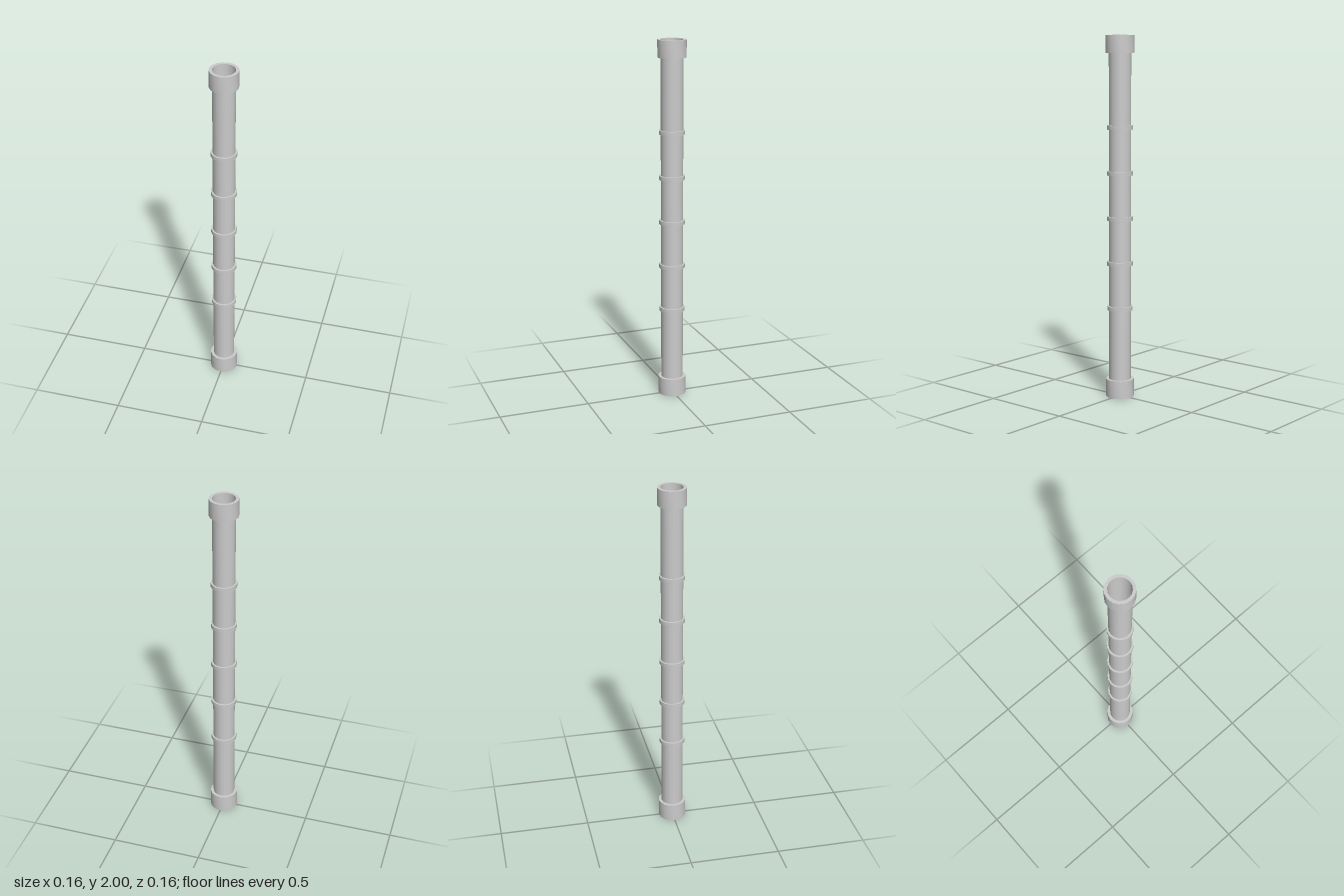
import * as THREE from 'three';
import { toCreasedNormals } from 'three/addons/utils/BufferGeometryUtils.js';

const SIDES = 16;
const PIPE_RADIUS = 0.061;

export function createModel() {
  const group = new THREE.Group();
  const material = new THREE.MeshStandardMaterial({ color: 0xcccccc });
  const pipeMaterial = new THREE.MeshStandardMaterial({ color: 0xcccccc, side: THREE.DoubleSide });

  // Square-edged band wrapped around the pipe
  function addBand(name, radius, bottom, top) {
    const profile = [
      new THREE.Vector2(PIPE_RADIUS, bottom),
      new THREE.Vector2(radius, bottom),
      new THREE.Vector2(radius, top),
      new THREE.Vector2(PIPE_RADIUS, top),
    ];
    const geometry = toCreasedNormals(new THREE.LatheGeometry(profile, SIDES), 0.7);
    const mesh = new THREE.Mesh(geometry, material);
    mesh.name = name;
    group.add(mesh);
  }

  // Hollow, open-ended pipe
  const pipe = new THREE.Mesh(
    new THREE.CylinderGeometry(PIPE_RADIUS, PIPE_RADIUS, 2, SIDES, 1, true), pipeMaterial);
  pipe.name = 'pipe';
  pipe.position.y = 1;
  group.add(pipe);

  // Thick collars at both ends
  addBand('bottomCollar', 0.078, 0, 0.1);
  addBand('topCollar', 0.078, 1.905, 2);

  // Five thin rings, evenly spaced
  for (let i = 0; i < 5; i++) {
    const y = 0.503 + i * 0.25;
    addBand(`ring${i + 1}`, 0.071, y - 0.0115, y + 0.0115);
  }

  return group;
}
